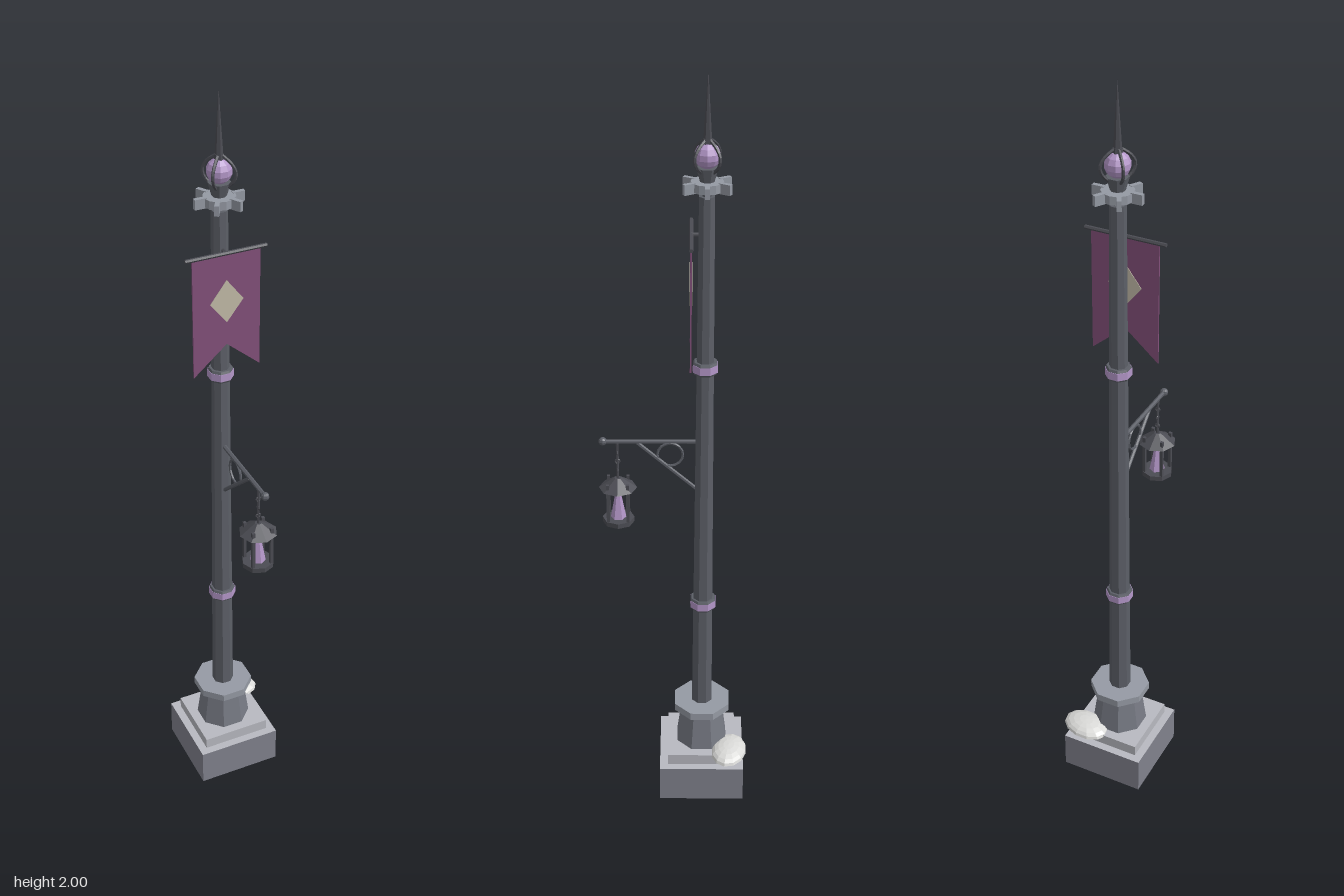
import * as THREE from 'three';

const mat = (name, color, side = THREE.FrontSide) => {
  const m = new THREE.MeshStandardMaterial({ color, side, flatShading: true });
  m.name = name;
  return m;
};

export function createModel() {
  const stone = mat('plinth stone', 0x80818c);
  const paleStone = mat('pale stone', 0xb8b9c0);
  const slate = mat('slate', 0x777a84);
  const lightSlate = mat('light slate', 0x959aa4);
  const iron = mat('iron', 0x5c5f67);
  const darkIron = mat('dark iron', 0x4b4c53);
  const violet = mat('violet crystal', 0xb497c9);
  const cloth = mat('plum cloth', 0x83507a, THREE.DoubleSide);
  const cream = mat('cream cloth', 0xc2bba8, THREE.DoubleSide);
  const snowMat = mat('snow', 0xdadad8);

  // Everything is placed relative to the pole axis
  const model = new THREE.Group();
  model.name = 'lampPost';
  model.position.set(-0.011, 0, -0.073);

  const add = (name, geo, material, x = 0, y = 0, z = 0, parent = model) => {
    const m = new THREE.Mesh(geo, material);
    m.name = name;
    m.position.set(x, y, z);
    parent.add(m);
    return m;
  };
  // Prism or frustum from y0 to y1; eight sides have flats facing the axes
  const prism = (name, r0, r1, y0, y1, material, sides = 8, parent = model) => {
    const g = new THREE.CylinderGeometry(r1, r0, y1 - y0, sides);
    if (sides === 8) g.rotateY(Math.PI / 8);
    return add(name, g, material, 0, (y0 + y1) / 2, 0, parent);
  };
  // Straight bar between two points
  const bar = (name, a, b, r, material, parent = model, sides = 6) => {
    const p = new THREE.Vector3(...a), q = new THREE.Vector3(...b);
    const d = q.clone().sub(p);
    const m = add(name, new THREE.CylinderGeometry(r, r, d.length(), sides), material, 0, 0, 0, parent);
    m.position.copy(p).add(q).multiplyScalar(0.5);
    m.quaternion.setFromUnitVectors(new THREE.Vector3(0, 1, 0), d.normalize());
    return m;
  };

  // Stepped plinth and pedestal
  add('plinth', new THREE.BoxGeometry(0.229, 0.105, 0.229),
    [stone, stone, paleStone, stone, stone, stone], 0, 0.0525, 0);
  add('plinthStep', new THREE.BoxGeometry(0.186, 0.032, 0.186), paleStone, 0, 0.12, 0);
  prism('pedestal', 0.073, 0.058, 0.135, 0.245, slate);
  prism('pedestalCollar', 0.08, 0.08, 0.244, 0.265, lightSlate);

  // Snow drift lying on a corner of the plinth
  const drift = new THREE.SphereGeometry(1, 12, 5, 0, Math.PI * 2, 0, Math.PI / 2);
  drift.scale(0.068, 0.024, 0.048);
  const snow = new THREE.Group();
  snow.name = 'snowDrift';
  snow.position.set(0.067, 0.131, -0.075);
  snow.rotation.y = -0.2;
  model.add(snow);
  add('driftTop', drift, snowMat, 0, 0, 0, snow);
  const under = new THREE.CircleGeometry(1, 12);
  under.scale(0.068, 0.048, 1);
  under.rotateX(Math.PI / 2);
  add('driftUnderside', under, snowMat, 0, 0, 0, snow);

  // Tapered pole with banded rings
  prism('pole', 0.029, 0.02, 0.26, 1.71, iron);
  for (const [y, r] of [[0.585, 0.036], [1.275, 0.033]]) {
    prism('ringBand', r, r, y - 0.01, y + 0.01, violet);
    prism('ringLowerEdge', r - 0.004, r - 0.001, y - 0.016, y - 0.01, iron);
    prism('ringUpperEdge', r - 0.001, r - 0.004, y + 0.01, y + 0.016, iron);
  }

  // Spoked crown
  prism('crownNeck', 0.012, 0.012, 1.70, 1.73, iron);
  prism('crownDisc', 0.039, 0.039, 1.724, 1.745, lightSlate, 12);
  for (let i = 0; i < 6; i++) {
    const a = i * Math.PI / 3;
    const s = add('crownSpoke', new THREE.BoxGeometry(0.03, 0.025, 0.011), lightSlate,
      0.0475 * Math.cos(a), 1.734, 0.0475 * Math.sin(a));
    s.rotation.y = -a;
  }
  prism('orbCup', 0.018, 0.027, 1.745, 1.778, iron);

  // Crystal orb held by four curved claws, with a spike on top
  const orb = new THREE.SphereGeometry(0.031, 10, 7);
  add('orb', orb, violet, 0, 1.805, 0);
  for (let i = 0; i < 4; i++) {
    const a = Math.PI / 4 + i * Math.PI / 2;
    const pts = [[0.02, 1.768], [0.036, 1.785], [0.041, 1.805], [0.03, 1.825], [0.008, 1.842]]
      .map(([r, y]) => new THREE.Vector3(r * Math.cos(a), y, r * Math.sin(a)));
    add('claw', new THREE.TubeGeometry(new THREE.CatmullRomCurve3(pts), 10, 0.004, 5), darkIron);
  }
  prism('spikeBase', 0.013, 0.011, 1.828, 1.845, darkIron, 6);
  add('spike', new THREE.ConeGeometry(0.01, 0.158, 6), darkIron, 0, 1.921, 0);

  // Swallow-tailed banner on a cross rod
  const bz = 0.036;
  bar('bannerRod', [-0.104, 1.615, bz], [0.104, 1.615, bz], 0.005, darkIron);
  bar('bannerBracket', [0, 1.615, 0], [0, 1.615, bz], 0.005, darkIron);
  const flag = new THREE.Shape([[-0.087, 1.613], [-0.087, 1.3], [0, 1.375], [0.087, 1.3], [0.087, 1.613]]
    .map(p => new THREE.Vector2(...p)));
  add('banner', new THREE.ExtrudeGeometry(flag, { depth: 0.004, bevelEnabled: false }), cloth, 0, 0, bz - 0.002);
  const diamond = new THREE.Shape([[0, 1.435], [0.043, 1.49], [0, 1.547], [-0.043, 1.49]]
    .map(p => new THREE.Vector2(...p)));
  add('bannerDiamond', new THREE.ExtrudeGeometry(diamond, { depth: 0.007, bevelEnabled: false }), cream, 0, 0, bz - 0.0035);

  // Lantern arm, diagonal brace and ring
  bar('arm', [0, 1.067, 0.015], [0, 1.067, 0.255], 0.0058, iron);
  add('armFinial', new THREE.SphereGeometry(0.011, 8, 6), iron, 0, 1.067, 0.255);
  bar('armBrace', [0, 1.063, 0.168], [0, 0.93, 0.018], 0.005, iron);
  const ring = add('armRing', new THREE.TorusGeometry(0.032, 0.0035, 5, 16), iron, 0, 1.03, 0.086);
  ring.rotation.y = Math.PI / 2;

  // Hanging lantern
  const lantern = new THREE.Group();
  lantern.name = 'lantern';
  lantern.position.set(0, 0, 0.219);
  model.add(lantern);
  bar('hanger', [0, 0.95, 0], [0, 1.067, 0], 0.0035, darkIron, lantern);
  for (const y of [0.985, 1.01, 1.035]) {
    const link = add('chainLink', new THREE.TorusGeometry(0.006, 0.002, 4, 8), darkIron, 0, y, 0, lantern);
    link.rotation.y = y === 1.01 ? Math.PI / 2 : 0;
  }
  add('lanternRoof', new THREE.CylinderGeometry(0.009, 0.049, 0.028, 8), darkIron, 0, 0.949, 0, lantern);
  add('lanternBase', new THREE.CylinderGeometry(0.041, 0.041, 0.013, 8), darkIron, 0, 0.841, 0, lantern);
  for (const x of [-0.025, 0.025]) for (const z of [-0.025, 0.025])
    add('lanternPost', new THREE.BoxGeometry(0.008, 0.11, 0.008), darkIron, x, 0.9, z, lantern);
  add('lanternCrystal', new THREE.CylinderGeometry(0.004, 0.02, 0.088, 6), violet, 0, 0.891, 0, lantern);

  const root = new THREE.Group();
  root.name = 'model';
  root.add(model);
  return root;
}
